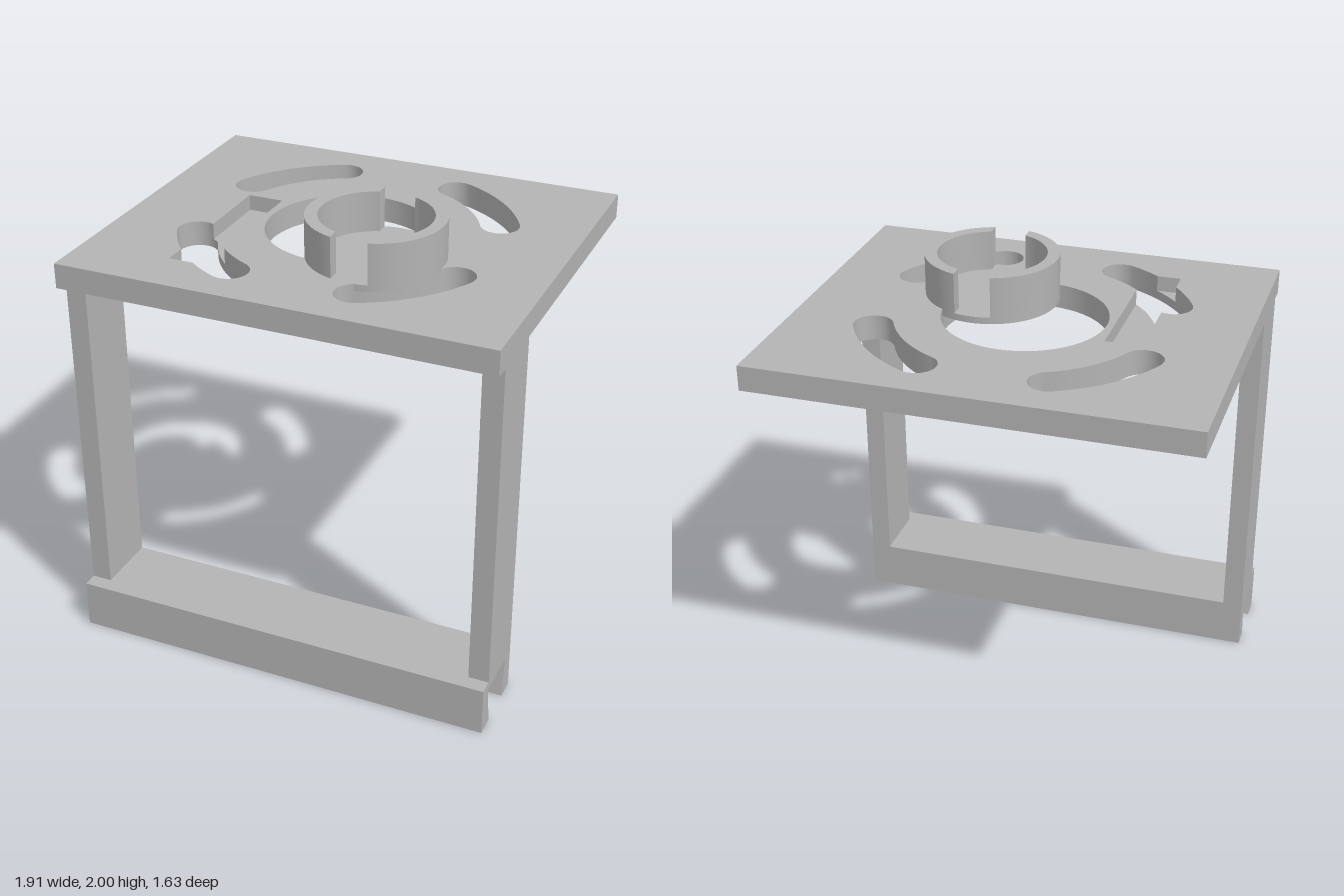
import * as THREE from 'three';
import { toCreasedNormals } from 'three/addons/utils/BufferGeometryUtils.js';

const rad = THREE.MathUtils.degToRad;

// Points along an arc, angles in degrees
function arc(cx, cy, r, a0, a1, n = 16) {
  return Array.from({ length: n + 1 }, (_, i) => {
    const a = rad(a0 + (a1 - a0) * i / n);
    return new THREE.Vector2(cx + r * Math.cos(a), cy + r * Math.sin(a));
  });
}
const pt = (x, y) => new THREE.Vector2(x, y);

// Curved slot sizes: middle radius, half width, half sweep
const MID = 0.645, HALF = 0.085, SWEEP = 19.8;
const IN = MID - HALF, OUT = MID + HALF;
const capAt = (a, from, to) => arc(MID * Math.cos(rad(a)), MID * Math.sin(rad(a)), HALF, from, to);

function slot(angle) {
  const a0 = angle - SWEEP, a1 = angle + SWEEP;
  return [
    ...arc(0, 0, OUT, a0, a1, 24),
    ...capAt(a1, a1, a1 + 180).slice(1),
    ...arc(0, 0, IN, a1, a0, 24).slice(1),
    ...capAt(a0, a0 - 180, a0).slice(1, -1),
  ];
}

// Front right slot merged with the straight recess
function slotWithRecess() {
  const a0 = 135 - SWEEP, a1 = 135 + SWEEP;
  return [
    pt(-0.55, -0.155), pt(-0.39, -0.155),
    ...arc(0, 0, IN, 134.1, a0),
    ...capAt(a0, a0 - 180, a0).slice(1),
    ...arc(0, 0, OUT, a0, 127.4, 8).slice(1),
    pt(-0.55, 0.58),
    ...arc(0, 0, OUT, 138.9, a1, 12),
    ...capAt(a1, a1, 294.3).slice(1),
  ];
}

// Extrude an x-z outline downward from the height top
function slab(points, holes, top, depth) {
  const shape = new THREE.Shape(points);
  shape.holes = holes.map((h) => new THREE.Path(h));
  const g = new THREE.ExtrudeGeometry(shape, { depth, bevelEnabled: false });
  g.rotateX(Math.PI / 2).translate(0, top, 0);
  return toCreasedNormals(g, rad(30));
}

export function createModel() {
  const model = new THREE.Group();
  model.name = 'mountingBracket';
  const grey = new THREE.MeshStandardMaterial({ color: 0xb3b3b3 });
  grey.name = 'plain grey';
  const add = (name, geometry, parent = model) => {
    const mesh = new THREE.Mesh(geometry, grey);
    mesh.name = name;
    parent.add(mesh);
    return mesh;
  };

  // Top plate in two layers, the upper one carrying the recess
  const W = 0.955, D = 0.813, TOP = 1.82, RECESS = 0.07;
  const outline = [pt(-W, -D), pt(W, -D), pt(W, D), pt(-W, D)];
  const bore = arc(0, 0, 0.36, 0, 360, 64).slice(0, -1);
  const plainSlots = [45, 225, 315].map(slot);
  add('plateUpperLayer', slab(outline, [bore, ...plainSlots, slotWithRecess()], TOP, RECESS));
  add('plateLowerLayer', slab(outline, [bore, ...plainSlots, slot(135)], TOP - RECESS, 0.11 - RECESS));

  // Split ring holder with a thin floor
  const holder = new THREE.Group();
  holder.name = 'ringHolder';
  holder.position.set(0.213, 0, 0.212);
  model.add(holder);
  const outer = 74.3, inner = 70.5;
  const half = [...arc(0, 0, 0.295, -outer, outer, 40), ...arc(0, 0, 0.24, inner, -inner, 40)];
  for (const side of [0, 1]) {
    add(side ? 'ringRight' : 'ringLeft', slab(half, [], 2, 0.18), holder).rotation.y = side * Math.PI;
  }
  add('ringFloor', new THREE.CylinderGeometry(0.295, 0.295, 0.03, 64).translate(0, TOP - 0.015, 0), holder);

  // Two legs
  for (const s of [1, -1]) {
    add(s > 0 ? 'leftLeg' : 'rightLeg',
      new THREE.BoxGeometry(0.09, 1.49, 0.285).translate(s * 0.91, 0.965, 0.5975));
  }

  // Base bar with a dovetail channel, profile in z and y
  const profile = new THREE.Shape([
    pt(0.455, 0), pt(0.545, 0), pt(0.52, 0.183), pt(0.743, 0.183),
    pt(0.715, 0), pt(0.807, 0), pt(0.807, 0.22), pt(0.455, 0.22),
  ].map((p) => pt(-p.x, p.y)));
  const bar = new THREE.ExtrudeGeometry(profile, { depth: 2 * W, bevelEnabled: false });
  add('dovetailBar', bar.rotateY(Math.PI / 2).translate(-W, 0, 0));

  return model;
}
